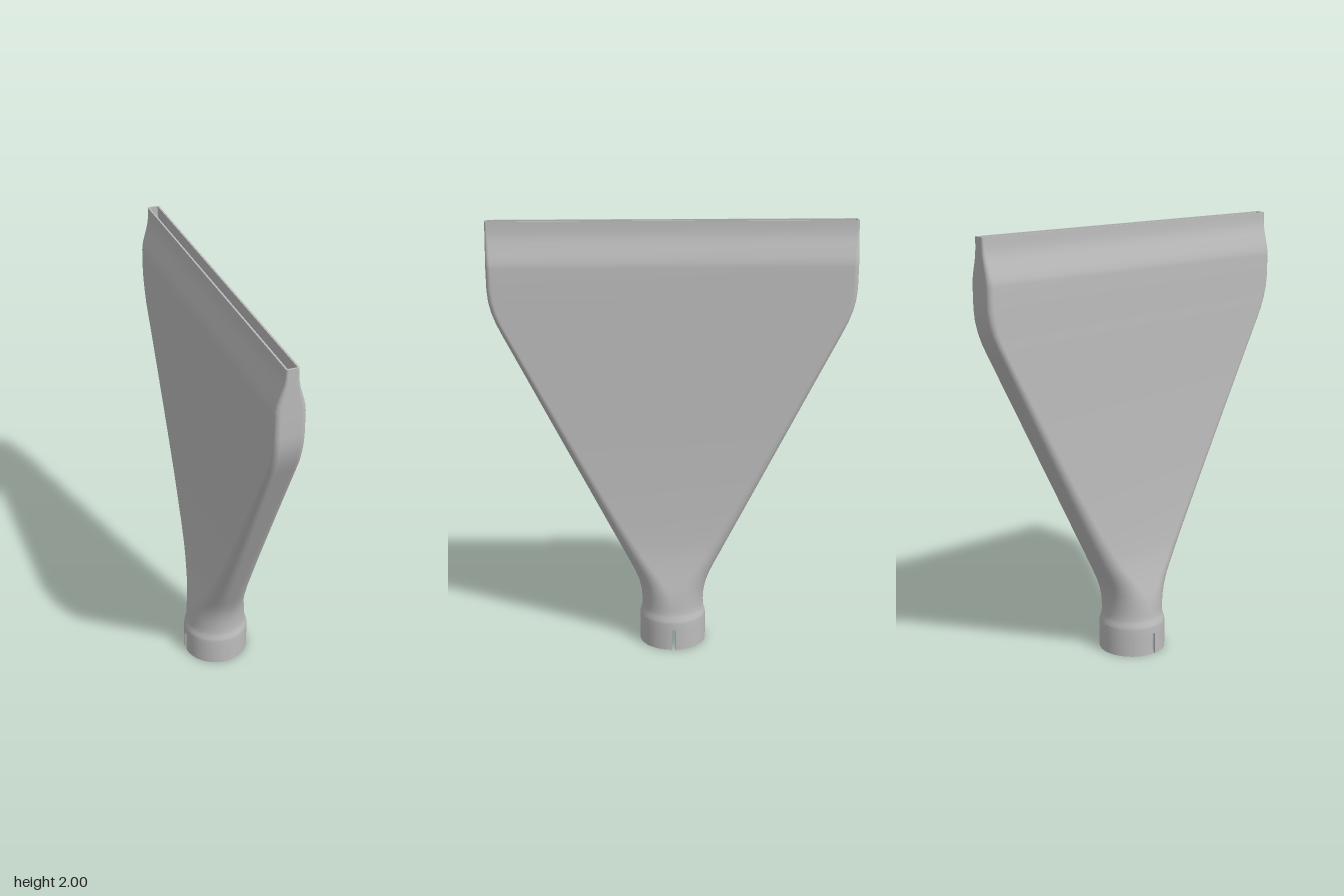
import * as THREE from 'three';
import { mergeGeometries, mergeVertices, toCreasedNormals } from 'three/addons/utils/BufferGeometryUtils.js';

const CORNER = 12; // segments per rounded corner
const WALL = 0.008;

// Body stations: height, half thickness (x), half width (z), corner radius
const stations = [
  [0.1, 0.155, 0.155, 0.155], [0.13, 0.155, 0.155, 0.155], [0.143, 0.153, 0.153, 0.153],
  [0.16, 0.146, 0.147, 0.146], [0.175, 0.142, 0.145, 0.142], [0.2, 0.14, 0.144, 0.14],
  [0.25, 0.136, 0.147, 0.134], [0.3, 0.126, 0.157, 0.12], [0.35, 0.115, 0.176, 0.106],
  [0.4, 0.106, 0.2, 0.093], [0.45, 0.098, 0.226, 0.083], [0.5, 0.092, 0.251, 0.075],
  [0.6, 0.085, 0.302, 0.064], [0.8, 0.077, 0.404, 0.052], [1.0, 0.073, 0.506, 0.044],
  [1.25, 0.07, 0.633, 0.036], [1.5, 0.068, 0.76, 0.028], [1.55, 0.068, 0.784, 0.027],
  [1.6, 0.067, 0.803, 0.026], [1.65, 0.067, 0.815, 0.025], [1.7, 0.067, 0.82, 0.024],
  [1.8, 0.066, 0.821, 0.023], [1.82, 0.064, 0.821, 0.022], [1.85, 0.057, 0.821, 0.02],
  [1.9, 0.041, 0.821, 0.016], [1.93, 0.033, 0.821, 0.013], [1.96, 0.029, 0.821, 0.011],
  [2.0, 0.028, 0.821, 0.01],
];
const inset = ([y, a, b, r]) => [y, a - WALL, b - WALL, Math.max(r - WALL, 0.003)];

// Rounded rectangle around the y axis
function ring([y, a, b, r]) {
  const pts = [];
  [[1, 1], [-1, 1], [-1, -1], [1, -1]].forEach(([sx, sz], q) => {
    for (let i = 0; i <= CORNER; i++) {
      const t = (q + i / CORNER) * Math.PI / 2;
      pts.push(sx * (a - r) + r * Math.cos(t), y, sz * (b - r) + r * Math.sin(t));
    }
  });
  return pts;
}

// Smooth skin through a list of sections
function loft(sections) {
  const n = 4 * (CORNER + 1), index = [];
  for (let i = 0; i < sections.length - 1; i++) {
    for (let j = 0; j < n; j++) {
      const a = i * n + j, b = i * n + (j + 1) % n;
      index.push(a, a + n, b, b, a + n, b + n);
    }
  }
  let g = new THREE.BufferGeometry();
  g.setAttribute('position', new THREE.Float32BufferAttribute(sections.flatMap(ring), 3));
  g.setIndex(index);
  g = mergeVertices(g, 1e-5);
  g.computeVertexNormals();
  return g;
}

// Inner half thickness at a height
function innerHalf(y) {
  const k = Math.max(1, stations.findIndex((s) => s[0] >= y));
  const [p, q] = [stations[k - 1], stations[k]];
  return THREE.MathUtils.lerp(p[1], q[1], (y - p[0]) / (q[0] - p[0])) - WALL;
}

// Sheet dividing the inside, leaning outwards towards the mouth
function vaneGeometry(side) {
  const y0 = 0.25, y1 = 1.8, steps = 24;
  const g = new THREE.PlaneGeometry(1, 1, 1, steps);
  const p = g.attributes.position;
  for (let i = 0; i < p.count; i++) {
    const t = p.getY(i) + 0.5, y = y0 + t * (y1 - y0);
    p.setXYZ(i, Math.sign(p.getX(i)) * innerHalf(y), y, side * (0.042 + 0.228 * t));
  }
  g.computeVertexNormals();
  return g;
}

export function createModel() {
  const grey = new THREE.MeshStandardMaterial({ color: 0xbcbcbc });
  grey.name = 'grey plastic';
  const greySheet = new THREE.MeshStandardMaterial({ color: 0xbcbcbc, side: THREE.DoubleSide });
  greySheet.name = 'grey plastic sheet';

  const group = new THREE.Group();
  group.name = 'flatNozzle';
  const add = (name, geometry, material = grey) => {
    const mesh = new THREE.Mesh(geometry, material);
    mesh.name = name;
    group.add(mesh);
    return mesh;
  };

  // Hollow flared body: outside, mouth rim, inside, socket step and socket wall
  const top = stations[stations.length - 1];
  const inside = stations.filter((s) => s[0] >= 0.16).map(inset).reverse();
  const seat = [0.13, 0.134, 0.134, 0.134];
  const socket = [0.13, 0.145, 0.145, 0.145];
  const socketLow = [0.1, 0.145, 0.145, 0.145];
  add('nozzleBody', mergeGeometries([
    loft(stations),
    loft([top, inset(top)]),
    loft([...inside, seat]),
    loft([seat, socket]),
    loft([socket, socketLow]),
    loft([socketLow, stations[0]]),
  ]));

  // Collar halves with a narrow slot between them on each broad side
  const gap = 0.052;
  for (const [name, start] of [['frontCollar', Math.PI], ['backCollar', 0]]) {
    const shape = new THREE.Shape();
    shape.absarc(0, 0, 0.155, start + gap, start + Math.PI - gap, false);
    shape.absarc(0, 0, 0.145, start + Math.PI - gap, start + gap, true);
    shape.closePath();
    const g = new THREE.ExtrudeGeometry(shape, { depth: 0.1, bevelEnabled: false, curveSegments: 28 });
    g.rotateX(-Math.PI / 2);
    add(name, toCreasedNormals(g, 0.6));
  }

  // Inner guide vanes
  add('frontVane', vaneGeometry(1), greySheet);
  add('backVane', vaneGeometry(-1), greySheet);
  return group;
}
